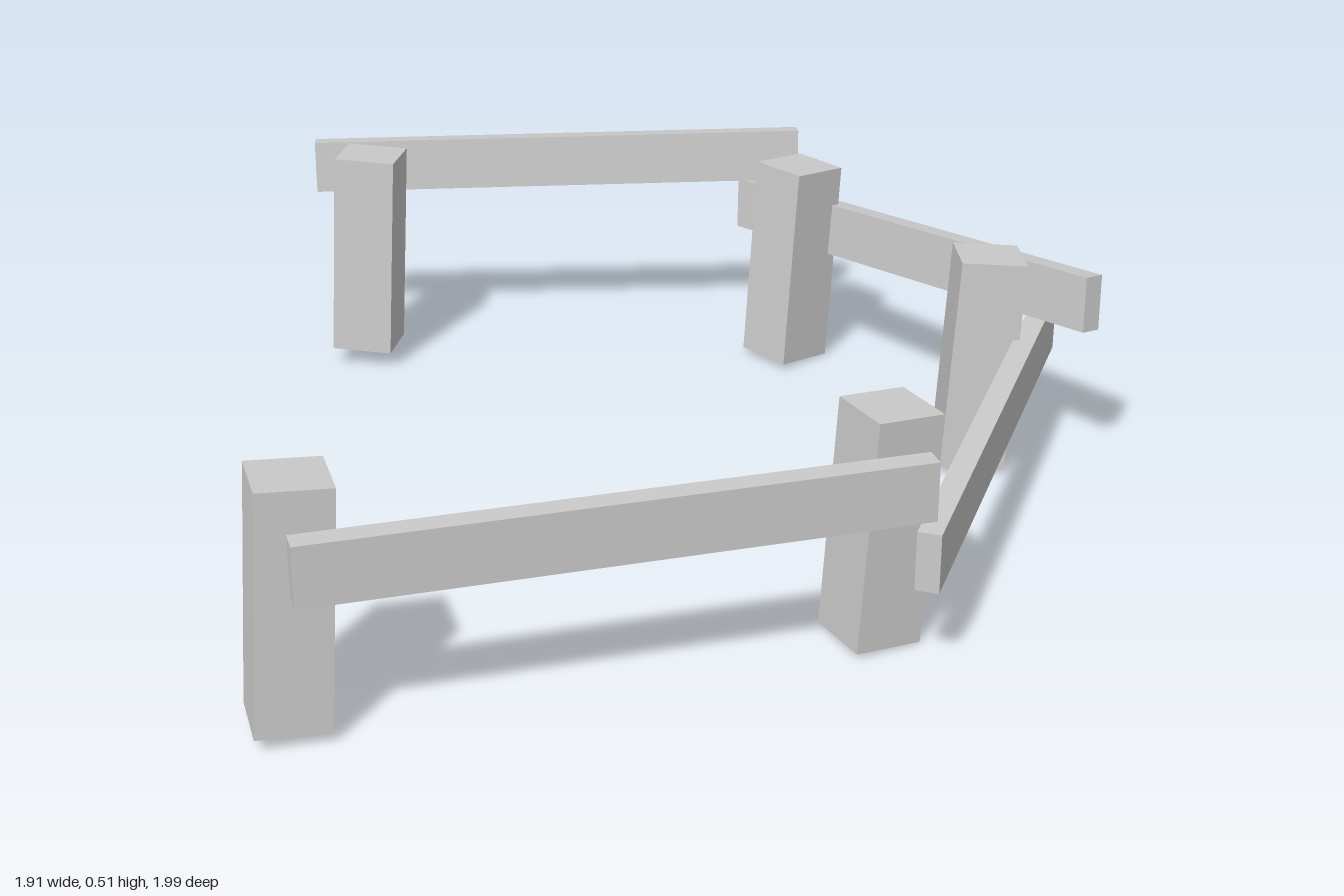
import * as THREE from 'three';

const material = new THREE.MeshStandardMaterial({ color: 0xcccccc, flatShading: true });

// Box whose local x axis runs from a to b, with local y as close to "up" as possible
function beam(name, a, b, up, height, depth) {
  const start = new THREE.Vector3(...a), end = new THREE.Vector3(...b);
  const xAxis = end.clone().sub(start);
  const length = xAxis.length();
  xAxis.normalize();
  const zAxis = new THREE.Vector3().crossVectors(xAxis, new THREE.Vector3(...up)).normalize();
  const yAxis = new THREE.Vector3().crossVectors(zAxis, xAxis);
  const mesh = new THREE.Mesh(new THREE.BoxGeometry(length, height, depth), material);
  mesh.name = name;
  mesh.quaternion.setFromRotationMatrix(new THREE.Matrix4().makeBasis(xAxis, yAxis, zAxis));
  mesh.position.copy(start).add(end).multiplyScalar(0.5);
  return mesh;
}

export function createModel() {
  const group = new THREE.Group();
  group.name = 'brokenFence';

  // Leaning square posts: bottom centre, top centre, turn about the vertical
  const posts = [
    [[-0.89, 0.025, 0.828], [-0.86, 0.495, 0.815], 0],
    [[0.22, 0.009, 0.804], [0.25, 0.476, 0.796], 0.19],
    [[0.706, 0.014, 0.148], [0.737, 0.48, 0.138], -0.26],
    [[0.517, 0.012, -0.525], [0.548, 0.48, -0.537], 0.43],
    [[-0.453, 0.04, -0.797], [-0.425, 0.51, -0.81], -0.42],
  ];
  posts.forEach(([bottom, top, turn], i) => {
    const side = [Math.cos(turn), 0, -Math.sin(turn)];
    group.add(beam(`post${i + 1}`, bottom, top, side, 0.14, 0.14));
  });

  // Plank rails: two end centres and the direction their top edge faces
  const rails = [
    [[-0.88, 0.36, 0.915], [0.29, 0.36, 0.915], [0, 1, 0]],
    [[0.259, 0.24, 0.976], [0.934, 0.256, 0.019], [0, 1, 0]],
    [[0.917, 0.398, 0.272], [0.513, 0.294, -0.826], [0.08, 1, -0.02]],
    [[0.606, 0.447, -0.715], [-0.531, 0.438, -0.973], [0.02, 1, -0.1]],
  ];
  rails.forEach(([a, b, up], i) => group.add(beam(`rail${i + 1}`, a, b, up, 0.12, 0.046)));

  return group;
}
